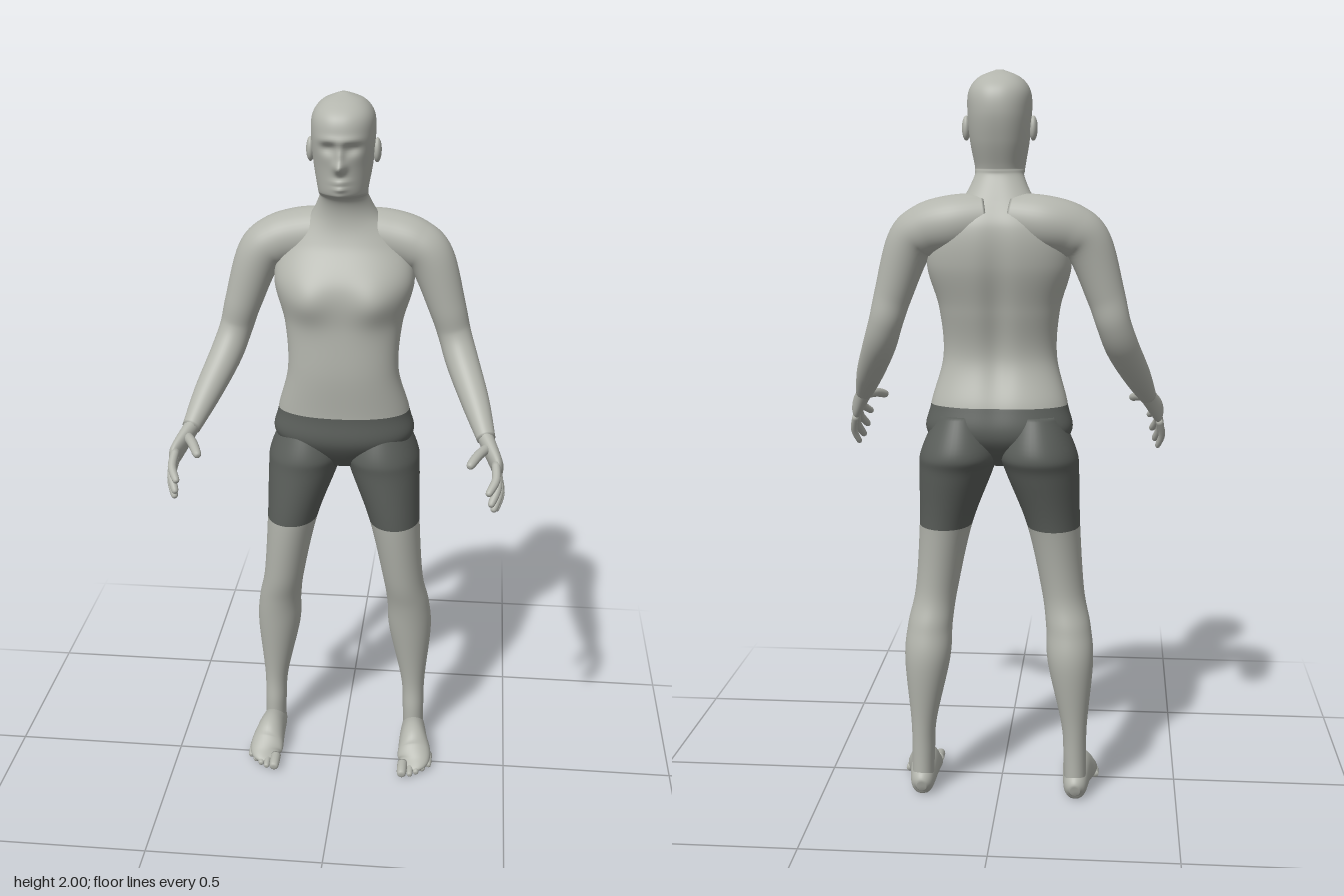
import * as THREE from 'three';

const skin = new THREE.MeshStandardMaterial({ color: 0xb3b5ad });
skin.name = 'skin';
const cloth = new THREE.MeshStandardMaterial({ color: 0x5c605c });
cloth.name = 'shorts cloth';
const eyeWhite = new THREE.MeshStandardMaterial({ color: 0xcdcfc9 });
eyeWhite.name = 'eye white';

const X = new THREE.Vector3(1, 0, 0), Y = new THREE.Vector3(0, 1, 0), Z = new THREE.Vector3(0, 0, 1);
const { smoothstep } = THREE.MathUtils;

// Catmull-Rom blend of two neighbouring stations
function blend(s, k, t) {
  const at = i => s[Math.min(Math.max(i, 0), s.length - 1)];
  const [a, b, c, d] = [at(k - 1), at(k), at(k + 1), at(k + 2)];
  return b.map((_, i) => 0.5 * (2 * b[i] + (c[i] - a[i]) * t
    + (2 * a[i] - 5 * b[i] + 4 * c[i] - d[i]) * t * t
    + (3 * b[i] - a[i] - 3 * c[i] + d[i]) * t * t * t));
}

// Skins stations [x, y, z, radiusU, radiusV].
// Sections lie flat, or across the path when a reference axis is given.
// Pieces [name, material, fromStation, toStation] share one set of normals.
function loft(stations, pieces, { seg = 32, steps = 8, ref = null, side = 1, square = 2, warp = null } = {}) {
  const end = stations.length - 1;
  const last = end * steps;
  const rows = [];
  for (let i = 0; i < last; i++) rows.push(blend(stations, Math.floor(i / steps), (i % steps) / steps));
  rows.push(stations[end]);
  const centre = rows.map(r => new THREE.Vector3(r[0], r[1], r[2]));
  const power = v => Math.sign(v) * Math.abs(v) ** (2 / square);
  const pos = [];
  const put = p => pos.push(p.x * side, p.y, p.z);
  rows.forEach((r, i) => {
    const u = X.clone(), v = Z.clone();
    if (ref) {
      const t = centre[Math.min(i + 1, last)].clone().sub(centre[Math.max(i - 1, 0)]).normalize();
      v.copy(ref).addScaledVector(t, -ref.dot(t)).normalize();
      u.crossVectors(t, v);
    }
    for (let j = 0; j < seg; j++) {
      const a = (j / seg) * Math.PI * 2;
      const p = centre[i].clone()
        .addScaledVector(u, power(Math.cos(a)) * r[3])
        .addScaledVector(v, power(Math.sin(a)) * r[4]);
      if (warp) warp(p, Math.sin(a));
      put(p);
    }
  });
  put(centre[0]);
  put(centre[last]);

  const tri = (a, b, c) => (side > 0 ? [a, b, c] : [a, c, b]);
  const indexFor = (from, to) => {
    const idx = [];
    for (let j = 0; j < seg; j++) {
      const n = (j + 1) % seg;
      for (let i = from * steps; i < to * steps; i++) {
        const a = i * seg, b = a + seg;
        idx.push(...tri(a + j, b + j, a + n), ...tri(b + j, b + n, a + n));
      }
      if (from === 0) idx.push(...tri(rows.length * seg, j, n));
      if (to === end) idx.push(...tri(rows.length * seg + 1, last * seg + n, last * seg + j));
    }
    return idx;
  };
  const whole = new THREE.BufferGeometry();
  whole.setAttribute('position', new THREE.Float32BufferAttribute(pos, 3));
  whole.setIndex(indexFor(0, end));
  whole.computeVertexNormals();
  return pieces.map(([name, material, from = 0, to = end]) => {
    const m = new THREE.Mesh(whole.clone().setIndex(indexFor(from, to)), material);
    m.name = name;
    return m;
  });
}

// Flat station from half width and front / back depth
const slab = ([x, y, w, front, back]) => [x, y, (front + back) / 2, w, (front - back) / 2];

// Front relief, mirrored in x: [x, y, spreadX, spreadY, depth]
const relief = [
  [0.1, 1.455, 0.045, 0.04, 0.022], // chest
  [0, 1.825, 0.012, 0.011, 0.026], [0, 1.852, 0.008, 0.02, 0.012], // nose
  [0.032, 1.873, 0.016, 0.011, -0.014], [0.03, 1.894, 0.022, 0.008, 0.006], // eye socket, brow
  [0, 1.786, 0.018, 0.005, 0.009], [0, 1.769, 0.016, 0.005, 0.009], // lips
  [0, 1.75, 0.018, 0.011, 0.006], // chin
];
const bump = (dx, dy, sx, sy) => Math.exp(-((dx / sx) ** 2 + (dy / sy) ** 2) / 2);
function sculpt(p, s) {
  const { x, y } = p, front = Math.max(0, s), back = Math.max(0, -s);
  for (const [bx, by, sx, sy, depth] of relief) {
    const mirrored = bx ? bump(x + bx, y - by, sx, sy) : 0;
    p.z += depth * front * (bump(x - bx, y - by, sx, sy) + mirrored);
  }
  p.z += 0.014 * back * bump(x, y - 1.35, 0.025, 0.17); // spine groove
  const jaw = smoothstep(y, 1.725, 1.745) - smoothstep(y, 1.76, 1.9);
  p.x *= 1 - 0.22 * jaw * front * front;
}

// Tapered finger or toe through three points
function digit(name, a, b, c, r, ref, side) {
  const near = c.map((v, i) => b[i] + (v - b[i]) * 0.82);
  const s = [[...a, r, r], [...b, r, r], [...near, r * 0.85, r * 0.85], [...c, r * 0.35, r * 0.35]];
  return loft(s, [[name, skin]], { seg: 14, steps: 4, ref, side });
}

function ellipsoid(name, material, r, position, scale) {
  const m = new THREE.Mesh(new THREE.SphereGeometry(r, 24, 16), material);
  m.name = name;
  m.position.set(...position);
  m.scale.set(...scale);
  return m;
}

// Pelvis to crown: [y, half width, front, back]
const trunk = [
  [0.96, 0.06, -0.05, -0.15], [1.04, 0.19, 0.003, -0.215], [1.125, 0.185, 0.005, -0.207],
  [1.25, 0.154, 0.015, -0.168], [1.38, 0.162, 0.012, -0.193], [1.5, 0.192, 0.01, -0.224],
  [1.6, 0.165, -0.045, -0.224], [1.67, 0.096, -0.062, -0.188], [1.725, 0.067, -0.047, -0.157],
  [1.743, 0.066, -0.005, -0.153], [1.757, 0.067, 0.012, -0.156], [1.82, 0.078, 0.017, -0.18],
  [1.89, 0.084, 0.028, -0.196], [1.945, 0.081, 0.018, -0.188], [1.98, 0.056, -0.024, -0.152],
  [2, 0.01, -0.078, -0.098],
];

// Neck root over the shoulder to the wrist: [x, y, z, radius]
const arm = [
  [0.03, 1.62, -0.14, 0.068], [0.115, 1.607, -0.145, 0.075], [0.188, 1.59, -0.135, 0.071],
  [0.237, 1.55, -0.126, 0.063], [0.283, 1.42, -0.118, 0.051], [0.305, 1.345, -0.116, 0.046],
  [0.33, 1.275, -0.08, 0.045], [0.37, 1.19, 0.002, 0.038], [0.403, 1.118, 0.086, 0.025],
];

// Ankle to hip: [x, y, half width, front, back]
const leg = [
  [0.217, 0.02, 0.03, -0.085, -0.162], [0.215, 0.12, 0.032, -0.083, -0.164],
  [0.212, 0.22, 0.036, -0.086, -0.172], [0.2, 0.4, 0.063, -0.06, -0.195],
  [0.193, 0.5, 0.062, -0.043, -0.181], [0.176, 0.6, 0.059, -0.02, -0.163],
  [0.149, 0.785, 0.073, 0.005, -0.187], [0.118, 0.94, 0.1, 0.009, -0.231],
  [0.107, 1, 0.104, 0.008, -0.249], [0.1, 1.1, 0.068, -0.03, -0.208],
];

// Wrist to knuckles, and heel to ball of the foot
const palm = [
  [0.398, 1.125, 0.078, 0.024, 0.022], [0.43, 1.075, 0.138, 0.038, 0.018],
  [0.437, 1.058, 0.157, 0.036, 0.014], [0.438, 1.05, 0.165, 0.025, 0.008],
];
const foot = [
  [0.217, 0.03, -0.169, 0.014, 0.015], [0.217, 0.036, -0.145, 0.032, 0.041],
  [0.221, 0.045, -0.05, 0.042, 0.06], [0.227, 0.03, 0, 0.05, 0.039],
  [0.224, 0.019, 0.035, 0.045, 0.021], [0.21, 0.013, 0.06, 0.025, 0.007],
];

function finger(i, side) {
  const arch = Math.sin((i * Math.PI) / 3);
  const knuckle = [0.43 + 0.003 * i, 1.084 - 0.0155 * i, 0.17 - 0.0133 * i];
  const tip = [0.412 + 0.008 * i, 1.03 - 0.0267 * i - 0.014 * arch, 0.256 - 0.0253 * i + 0.012 * arch];
  const middle = knuckle.map((v, k) => (v + tip[k]) / 2);
  middle[0] += 0.011;
  return digit('finger', knuckle, middle, tip, i === 3 ? 0.0095 : 0.0115, X, side);
}

function toe(i, side) {
  const r = i ? 0.0097 : 0.015, x = i ? 0.2 + 0.018 * i : 0.194;
  const tip = 0.1 - 0.006 * i - 0.0023 * i * i;
  return digit('toe', [x, r + 0.006, tip - 0.055], [x, r + 0.004, tip - 0.025], [x, r, tip], r, Y, side);
}

export function createModel() {
  const model = new THREE.Group();
  model.name = 'human figure';
  model.add(...loft(trunk.map(s => slab([0, ...s])),
    [['shortsSeat', cloth, 0, 2], ['torso', skin, 2, 8], ['head', skin, 8, 15]],
    { seg: 120, steps: 12, square: 2.25, warp: sculpt }));

  for (const side of [1, -1]) {
    const add = (name, ...parts) => {
      const g = new THREE.Group();
      g.name = (side > 0 ? 'left ' : 'right ') + name;
      g.add(...parts.flat());
      model.add(g);
    };
    add('face',
      ellipsoid('eye', eyeWhite, 0.012, [side * 0.032, 1.873, -0.006], [1, 0.5, 1]),
      ellipsoid('ear', skin, 0.03, [side * 0.088, 1.852, -0.088], [0.38, 1.08, 0.68]));
    add('arm', loft(arm.map(s => [...s, s[3]]), [['arm', skin]], { seg: 40, ref: Z, side }));
    add('hand', loft(palm, [['palm', skin]], { ref: X, side }),
      [0, 1, 2, 3].flatMap(i => finger(i, side)),
      digit('thumb', [0.412, 1.105, 0.108], [0.385, 1.104, 0.16], [0.36, 1.09, 0.214], 0.0135, Y, side));
    add('leg', loft(leg.map(slab), [['leg', skin, 0, 6], ['shortsLeg', cloth, 6, 9]], { seg: 48, side }));
    // The sole is pressed flat on the ground
    add('foot',
      loft(foot, [['foot', skin]], { ref: Y, side, warp: p => { p.y = Math.max(0, p.y); } }),
      [0, 1, 2, 3, 4].flatMap(i => toe(i, side)));
  }
  return model;
}
